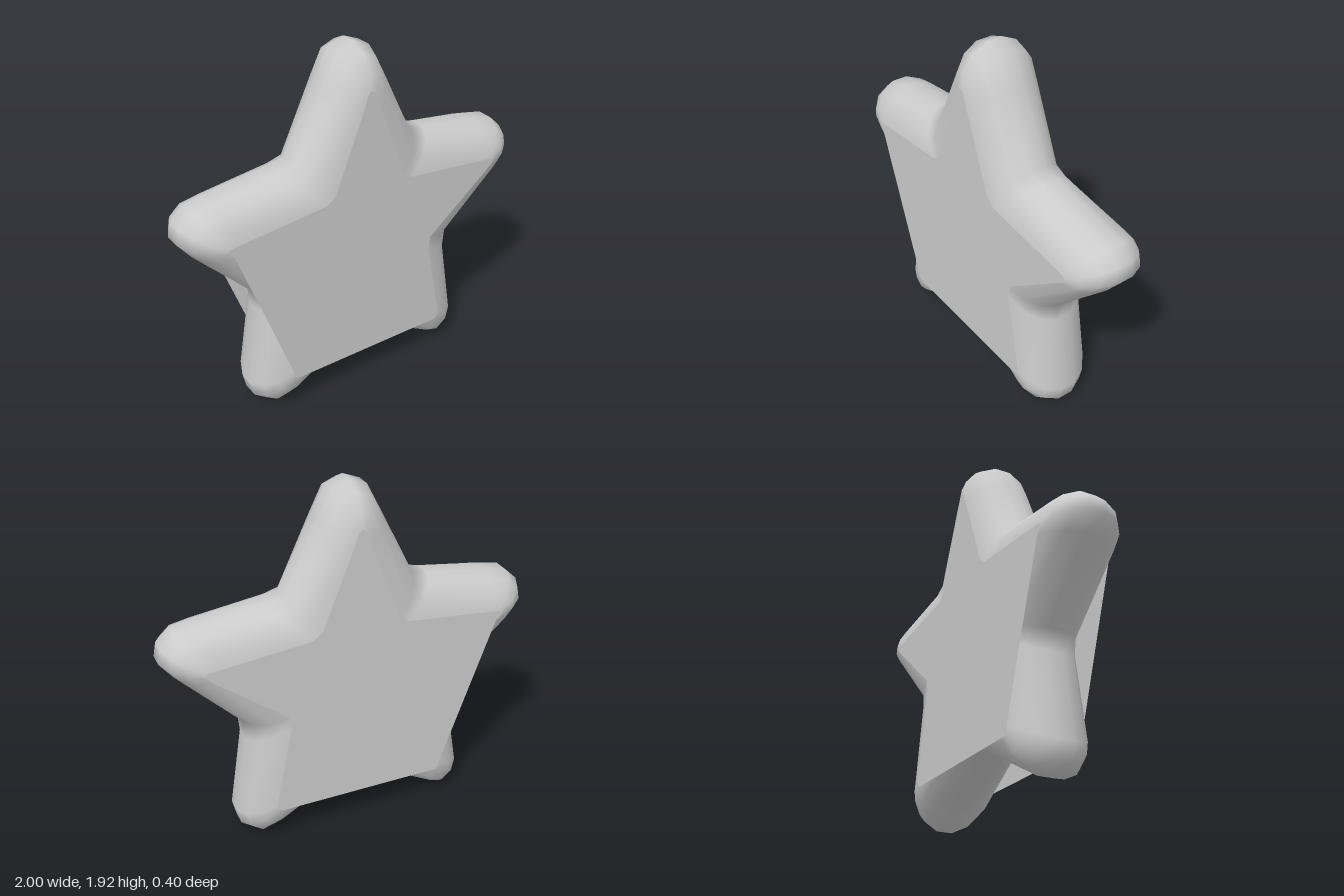
import * as THREE from 'three';

const DEPTH = 0.2; // half thickness
const STEPS = 7;   // facets across the rounded rim

// Right half of the star, clockwise from the top tip:
// [outer x, outer y, flat-face x, flat-face y]
const HALF = [
  [0, 1.925, 0, 1.725],
  [0.09, 1.89, 0.02, 1.71],
  [0.17, 1.735, 0.04, 1.65],
  [0.35, 1.375, 0.21, 1.22],
  [0.44, 1.355, 0.26, 1.18],
  [0.80, 1.303, 0.76, 1.13],
  [0.915, 1.28, 0.80, 1.125],
  [0.985, 1.215, 0.81, 1.115],
  [1.0, 1.14, 0.81, 1.10],
  [0.93, 1.05, 0.78, 1.07],
  [0.60, 0.71, 0.40, 0.77],
  [0.59, 0.60, 0.39, 0.70],
  [0.66, 0.15, 0.48, 0.24],
  [0.64, 0.06, 0.475, 0.21],
  [0.565, 0.003, 0.46, 0.195],
  [0.48, 0.03, 0.43, 0.195],
  [0, 0.28, 0, 0.48],
];

// Whole outline: the right half, then its mirror image without the two centre points
const OUTLINE = [
  ...HALF,
  ...HALF.slice(1, -1).reverse().map(([ox, oy, cx, cy]) => [-ox, oy, -cx, cy]),
];

// Half-round cross-section swept around the outline
function rimGeometry() {
  const positions = [];
  const index = [];
  const n = OUTLINE.length;
  const row = STEPS + 1;
  const widest = Math.cos(Math.PI / STEPS / 2);
  OUTLINE.forEach(([ox, oy, cx, cy], i) => {
    for (let j = 0; j <= STEPS; j++) {
      const angle = (Math.PI * j) / STEPS;
      const out = Math.sin(angle) / widest;
      positions.push(cx + (ox - cx) * out, cy + (oy - cy) * out, DEPTH * Math.cos(angle));
      if (j < STEPS) {
        const a = i * row + j;
        const b = ((i + 1) % n) * row + j;
        index.push(a, b, a + 1, b, b + 1, a + 1);
      }
    }
  });
  const geometry = new THREE.BufferGeometry();
  geometry.setAttribute('position', new THREE.Float32BufferAttribute(positions, 3));
  geometry.setIndex(index);
  geometry.computeVertexNormals();
  return geometry;
}

// Flat face; it runs straight across the bottom notch and the lower notch at -x
function faceGeometry() {
  const corners = OUTLINE
    .filter(([ox, oy]) => {
      const bottomNotch = ox === 0 && oy < 1;
      const sideNotch = ox < 0 && oy > 0.5 && oy < 0.8;
      return !bottomNotch && !sideNotch;
    })
    .map(([, , cx, cy]) => new THREE.Vector2(cx, cy));
  return new THREE.ShapeGeometry(new THREE.Shape(corners));
}

export function createModel() {
  const group = new THREE.Group();
  group.name = 'star';
  const material = new THREE.MeshStandardMaterial({ color: 0xcccccc, side: THREE.DoubleSide });

  const rim = new THREE.Mesh(rimGeometry(), material);
  rim.name = 'roundedRim';
  group.add(rim);

  // Front and back faces share one outline
  const front = new THREE.Mesh(faceGeometry(), material);
  front.name = 'frontFace';
  front.position.z = DEPTH;
  group.add(front);

  const backGeometry = faceGeometry();
  backGeometry.scale(-1, 1, 1).rotateY(Math.PI);
  // Mirroring then turning keeps x, so reverse the triangles to face backwards
  const order = backGeometry.index.array;
  for (let i = 0; i < order.length; i += 3) {
    [order[i], order[i + 1]] = [order[i + 1], order[i]];
  }
  backGeometry.computeVertexNormals();
  const back = new THREE.Mesh(backGeometry, material);
  back.name = 'backFace';
  back.position.z = -DEPTH;
  group.add(back);

  return group;
}
